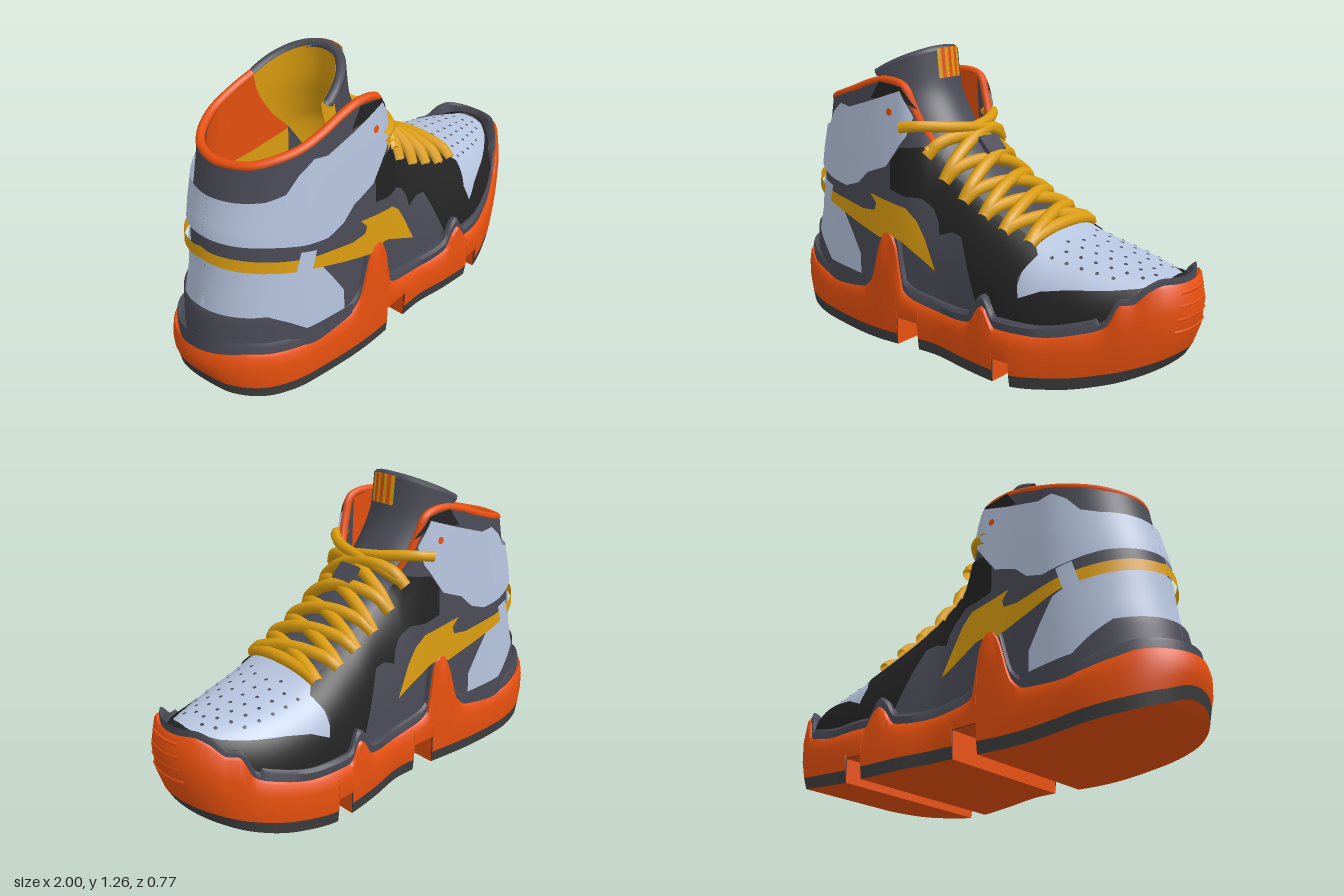
import * as THREE from 'three';
import { mergeGeometries, toCreasedNormals } from 'three/addons/utils/BufferGeometryUtils.js';

const V = (x, y, z) => new THREE.Vector3(x, y, z);
const clamp = THREE.MathUtils.clamp;
const mat = (name, color) => Object.assign(new THREE.MeshStandardMaterial({ color, side: THREE.DoubleSide }), { name });

// smooth curve through points, without overshoot
function curve(...p) {
  const d = p.slice(1).map((q, i) => (q[1] - p[i][1]) / (q[0] - p[i][0]));
  const m = p.map((_, i) => (i === 0 ? d[0] : i === p.length - 1 ? d[i - 1]
    : d[i - 1] * d[i] <= 0 ? 0 : (2 * d[i - 1] * d[i]) / (d[i - 1] + d[i])));
  return x => {
    x = clamp(x, p[0][0], p[p.length - 1][0]);
    let i = 0;
    while (i < p.length - 2 && x > p[i + 1][0]) i++;
    const h = p[i + 1][0] - p[i][0], t = (x - p[i][0]) / h, t2 = t * t, t3 = t2 * t;
    return p[i][1] * (2 * t3 - 3 * t2 + 1) + m[i] * h * (t3 - 2 * t2 + t)
      + p[i + 1][1] * (3 * t2 - 2 * t3) + m[i + 1] * h * (t3 - t2);
  };
}
const round = (d, L, p = 2) => Math.max(0, 1 - (1 - clamp(d / L, 0, 1)) ** p) ** (1 / p);

// plan outline shared by sole and upper
const halfW = curve([-1, .295], [-.8, .295], [-.6, .305], [-.3, .318], [0, .325], [.2, .362], [.4, .382], [.6, .35], [.8, .312], [1, .29]);
const midZ = curve([-1, .02], [-.6, .025], [-.3, .034], [0, .022], [.2, .005], [.4, -.012], [.6, -.035], [.8, -.05], [1, -.045]);
// upper: inset from the sole, crown height along the length, and lean of the heel
const inset = curve([-.9, .95], [-.5, .915], [-.2, .885], [.1, .85], [.3, .85], [1, .9]);
const crown = curve([-.9, 2], [-.2, 2], [-.15, 1.5], [-.1, 1.1], [-.06, .93], [0, .85], [.1, .755], [.2, .68], [.3, .625], [.4, .575],
  [.5, .535], [.7, .49], [.85, .46], [.92, .445], [.955, .42]);
const lean = curve([.2, -.03], [.4, -.015], [.45, .01], [.73, .04], [.85, .07], [1, .1], [1.15, .12]);
const leanK = X => clamp((-.3 - X) / .6, 0, 1);

function upperAt(s, t, side) {
  const X = .0275 - .9275 * Math.cos(Math.PI * s), a = t * Math.PI / 2;
  const y = .2 + (crown(X) - .2) * Math.sin(a) ** .75;
  const w = halfW(X) * round(X + .9, .35) * round(.955 - X, .45, 2.3) * (inset(X) - .04 * (y - .2)) * Math.max(0, Math.cos(a)) ** .75;
  return V(X + lean(y) * leanK(X), y, midZ(X) + side * w);
}
function upperNormal(s, t, side) {
  const e = .004, c = v => clamp(v, 0, 1);
  const ds = upperAt(c(s + e), t, side).sub(upperAt(c(s - e), t, side));
  const dt = upperAt(s, c(t + e), side).sub(upperAt(s, c(t - e), side));
  return ds.cross(dt).multiplyScalar(side).normalize();
}
const onUpper = (s, t, side, off) => upperAt(s, t, side).addScaledVector(upperNormal(s, t, side), off);
// side-on x, y to surface parameters
function toST(x, y) {
  let X = clamp(x, -.9, .955);
  for (let i = 0; i < 6; i++) X = clamp(x - lean(y) * leanK(X), -.9, .955);
  const f = clamp((y - .2) / (crown(X) - .2), 0, 1);
  return [Math.acos(clamp((.0275 - X) / .9275, -1, 1)) / Math.PI, Math.asin(f ** (1 / .75)) * 2 / Math.PI];
}

// cut a polygon at one grid line
function clip(poly, k, lim, sign) {
  const out = [];
  poly.forEach((b, i) => {
    const a = poly[(i + poly.length - 1) % poly.length];
    const da = (a[k] - lim) * sign, db = (b[k] - lim) * sign;
    if (da * db < 0) { const f = da / (da - db); out.push([a[0] + (b[0] - a[0]) * f, a[1] + (b[1] - a[1]) * f]); }
    if (db >= 0) out.push(b);
  });
  return out;
}
// panel lying on both sides of the upper, outlined in side-on x, y
function panelGeometry(pts, off) {
  const outline = [];
  pts.forEach((a, i) => {
    const b = pts[(i + 1) % pts.length];
    for (let j = 0; j < 8; j++) {
      const f = j / 8, ends = [a, b].map(q => [clamp(q[0], -1, 1), Math.min(q[1], 2.1)]);
      outline.push(toST(ends[0][0] + (ends[1][0] - ends[0][0]) * f, ends[0][1] + (ends[1][1] - ends[0][1]) * f));
    }
  });
  const pos = [], nor = [], NS = 72, NT = 36;
  for (let i = 0; i < NS; i++) {
    const col = clip(clip(outline, 0, i / NS, 1), 0, (i + 1) / NS, -1);
    for (let j = 0; j < NT && col.length > 2; j++) {
      const c = clip(clip(col, 1, j / NT, 1), 1, (j + 1) / NT, -1);
      if (c.length < 3) continue;
      const tris = THREE.ShapeUtils.triangulateShape(c.map(q => new THREE.Vector2(...q)), []);
      for (const f of tris) {
        const [p, q, r] = f.map(n => c[n]);
        const area = (q[0] - p[0]) * (r[1] - p[1]) - (q[1] - p[1]) * (r[0] - p[0]);
        if (Math.abs(area) < 1e-10) continue;
        for (const side of [1, -1]) for (const v of area * side > 0 ? [p, q, r] : [p, r, q]) {
          pos.push(...onUpper(v[0], v[1], side, off).toArray());
          nor.push(...upperNormal(v[0], v[1], side).toArray());
        }
      }
    }
  }
  const g = new THREE.BufferGeometry();
  g.setAttribute('position', new THREE.Float32BufferAttribute(pos, 3));
  return g.setAttribute('normal', new THREE.Float32BufferAttribute(nor, 3));
}
// sheet from a function of u, v
function sheet(nu, nv, fn) {
  const g = new THREE.PlaneGeometry(1, 1, nu, nv), p = g.attributes.position;
  for (let i = 0; i < p.count; i++) p.setXYZ(i, ...fn(p.getX(i) + .5, p.getY(i) + .5).toArray());
  g.computeVertexNormals();
  return g;
}
const tube = (pts, r, n = 40) => new THREE.TubeGeometry(new THREE.CatmullRomCurve3(pts), n, r, 8);

// sole: top edge with peaks, curved bottom, two notches
const soleTop = curve([-1, .27], [-.9, .265], [-.8, .24], [-.6, .21], [-.42, .22], [-.36, .27], [-.3, .45], [-.27, .5], [-.24, .5], [-.21, .45],
  [-.17, .25], [-.1, .22], [.1, .2], [.2, .21], [.25, .28], [.28, .3], [.34, .22], [.5, .22], [.7, .26], [.77, .29], [.82, .38], [.86, .385], [.92, .44], [.96, .46], [1, .455]);
const soleBottom = curve([-1, .1], [-.95, .065], [-.8, .03], [-.4, 0], [0, .015], [.4, 0], [.6, .02], [.8, .06], [.92, .095], [1, .12]);
const notches = [[-.2, -.08, .13], [.34, .42, .1]];
// ring points are [width factor, height, pull-in at the toe and heel]
function loft(sections, from, to) {
  const pos = [];
  for (let i = 0; i + 1 < sections.length; i++) for (let k = from; k < to; k++) for (const side of [1, -1]) {
    const P = (a, b) => {
      const { x, w, ring } = sections[a], [f, y, pull] = ring[b];
      return [x - Math.sign(x) * pull * 4 * Math.max(0, Math.abs(x) - .5) ** 2 * (x > 0 ? 1 : .4), y, midZ(x) + side * f * w];
    };
    const A = P(i, k), B = P(i + 1, k), C = P(i + 1, k + 1), D = P(i, k + 1);
    for (const v of side > 0 ? [A, B, C, A, C, D] : [A, C, B, A, D, C]) pos.push(...v);
  }
  const g = new THREE.BufferGeometry();
  g.setAttribute('position', new THREE.Float32BufferAttribute(pos, 3));
  return toCreasedNormals(g, .7);
}

export function createModel() {
  const group = new THREE.Group();
  const orange = mat('orange', 0xe8500f), yellow = mat('yellow', 0xdb9d10), pale = mat('paleBlue', 0xb6c4de);
  const grey = mat('slateGrey', 0x4b4b57), black = mat('black', 0x232324), rubber = mat('darkRubber', 0x403f40);
  const add = (name, geo, m) => { const o = new THREE.Mesh(geo, m); o.name = name; group.add(o); return o; };
  const panel = (name, m, off, pts) => add(name, panelGeometry(pts, off), m);

  // sole stations, doubled at the notch walls
  const xs = Array.from({ length: 181 }, (_, i) => -Math.cos(Math.PI * i / 180));
  notches.forEach(n => [n[0], n[1]].forEach(e => xs.push(e - 1e-5, e + 1e-5)));
  xs.sort((a, b) => a - b);
  const width = x => halfW(x) * round(x + 1, .35) * round(1 - x, .5, 2.3);
  const sole = xs.map(x => {
    const n = notches.find(q => x > q[0] && x < q[1]);
    const b = n ? n[2] : soleBottom(x), c = n ? b : b + .05, t = soleTop(x), f = .975 - .03 * (t - .2);
    return { x, w: width(x), ring: [[0, b, .075], [.97, b, .075], [.99, c, .045], [1, c + .3 * (t - c), .012], [.99, c + .65 * (t - c), 0],
      [f, t - .012, .02], [f - .03, t, .03], [.84, t - .01, .04], [.7, t - .08, .05]] };
  });
  add('outsoleUnderside', loft(sole, 0, 1), orange);
  add('outsoleEdge', loft(sole, 1, 2), rubber);
  add('midsole', loft(sole, 2, 8), orange);
  add('midsoleLip', loft(xs.map(x => {
    const t = soleTop(x) + (x > .75 ? .022 : .045), f = .95 - .03 * (t - .2);
    return { x: x * .985, w: width(x), ring: [[.93, Math.max(.18, t - .16), .03], [f, t - .015, .03], [f - .03, t, .03], [.8, t - .01, .04], [.65, t - .09, .05]] };
  }), 0, 4), grey);
  // ridges on the toe bumper
  for (const [y, h, back] of [[.425, .085, .012], [.375, .09, .005], [.325, .1, .004], [.275, .11, .008]])
    add('toeRidge', tube([-1, -.5, 0, .5, 1].map(u => V(.996 - back - 1.7 * (u * h) ** 2, y, -.045 + u * h)), .007, 12), orange);

  // upper panels, from the inside out
  const collar = [[-2, 1], [-.8, 1], [-.6, 1.045], [-.4, 1.11], [-.3, 1.13], [-.2, 1.11], [-.14, 1], [-.1, .91], [-.06, .85]];
  panel('upperBody', grey, 0, [[-2, .1], ...collar, [-.06, 9], [2, 9], [2, .34], [.78, .3], [.6, .1]]);
  panel('collarLining', orange, -.035, [[-2, .74], ...collar.slice(0, 6), [-.2, .8], [-.4, .78]]);
  panel('innerLining', yellow, -.035, [[-2, .45], [-2, .74], [-.4, .78], [-.2, .8], [-.2, .45]]);
  panel('toeBox', pale, .006, [[.38, 9], [.41, .54], [.42, .5], [.41, .45], [.4, .33], [.9, .3], [.94, 9]]);
  panel('ankleWrap', pale, .016, [[-2, .73], [-2, .86], [-.73, .88], [-.67, .9], [-.62, .965], [-.56, 1.01], [-.5, 1], [-.35, 1.045], [-.2, 1.095],
    [-.15, .99], [-.17, .91], [-.22, .84], [-.27, .775], [-.38, .735], [-.44, .68], [-.52, .655], [-.62, .67], [-.75, .7]]);
  panel('collarPatch', black, .01, [[-.37, 1.05], [-.32, 1.125], [-.2, 1.11], [-.14, 1.02], [-.2, 1.06]]);
  panel('heelPanel', pale, .008, [[-2, .3], [-2, .67], [-.68, .6], [-.56, .55], [-.5, .46], [-.44, .36], [-.44, .25]]);
  panel('heelCounter', grey, .014, [[-2, .1], [-2, .42], [-.78, .4], [-.71, .35], [-.64, .29], [-.4, .27], [-.4, .1]]);
  panel('eyestay', black, .012, [[-.25, .68], [-.25, .8], [-.2, .86], [-.1, .87], [0, .755], [.2, .63], [.4, .54], [.44, .5], [.4, .42],
    [.42, .35], [.5, .2], [.26, .2], [.23, .27], [.18, .38], [.14, .47], [.11, .53], [.06, .54], [0, .52], [-.01, .57], [-.04, .62], [-.1, .66], [-.17, .66]]);
  panel('toeGuard', black, .014, [[.4, .1], [.42, .35], [.5, .385], [.6, .4], [.75, .41], [.83, .42], [.88, .435], [.905, .447], [.91, 9],
    [2, 9], [2, .34], [.78, .3], [.6, .1]]);
  panel('sideBolt', yellow, .024, [[-2, .645], [-2, .695], [-.64, .62], [-.4, .575], [-.33, .58], [-.32, .61], [-.355, .65], [-.25, .63], [-.16, .615], [-.11, .57],
    [-.06, .49], [0, .37], [-.12, .435], [-.2, .48], [-.3, .465], [-.45, .51], [-.6, .56]]);
  panel('boltClip', pale, .034, [[-.68, .55], [-.65, .66], [-.59, .645], [-.62, .54]]);

  // collar rim, running round the heel from side to side
  const half = [[-.09, .89], [-.12, .95], [-.155, 1.03], [-.2, 1.11], [-.3, 1.13], [-.4, 1.11], [-.5, 1.075], [-.6, 1.045], [-.7, 1.02], [-.76, 1.005]]
    .map(q => toST(...q));
  const rim = side => half.map(q => onUpper(...q, side, -.014));
  add('collarRim', tube([...rim(1), onUpper(...toST(-2, 1), 1, -.014), ...rim(-1).reverse()], .018, 110), orange);
  add('insole', new THREE.CircleGeometry(1, 40).rotateX(-Math.PI / 2).scale(.4, 1, .24).translate(-.45, .52, .033), yellow);

  // tongue: outer face, lining, rolled edge and striped tab
  const tongueX = curve([.7, .1], [.85, 0], [.95, -.09], [1.1, -.165], [1.26, -.185]);
  const tongue = (u, v, depth) => {
    const a = u * 1.35, y = .7 + (1.245 - .1 * u * u - .7) * v;
    return V(tongueX(y) - depth - .28 * (1 - Math.cos(a)), y, .027 + (.215 - depth) * Math.sin(a));
  };
  add('tongue', sheet(28, 20, (u, v) => tongue(u * 2 - 1, v, 0)), grey);
  add('tongueLining', sheet(28, 20, (u, v) => tongue(u * 2 - 1, v, .035)), yellow);
  add('tongueEdge', tube(Array.from({ length: 15 }, (_, i) => tongue(i / 7 - 1, 1, .017)), .02, 50), grey);
  for (let i = 0; i < 7; i++)
    add('tabStripe', sheet(2, 8, (u, v) => tongue((i + u - 3.5) * .061, .79 + .23 * v, -.01)), i % 2 ? orange : yellow);

  // laces crossing over the throat
  const eyelets = [[-.1, .83], [-.02, .73], [.08, .66], [.18, .61], [.28, .565], [.39, .53]].map(q => toST(...q));
  const lace = (a, b, side, lift) => {
    const A = onUpper(...a, side, .014), B = onUpper(...b, -side, .014), mid = A.clone().lerp(B, .5);
    const h = (crown(mid.x + .03) - mid.y + lift) / .95;
    return tube(Array.from({ length: 13 }, (_, i) => {
      const f = i / 12, k = h * Math.max(0, Math.sin(Math.PI * f)) ** .55;
      return A.clone().lerp(B, f).add(V(.3 * k, .95 * k, 0));
    }), .027, 36);
  };
  for (let i = 0; i + 1 < eyelets.length; i++) for (const side of [1, -1])
    add('lace', lace(eyelets[i + 1], eyelets[i], side, side > 0 ? .032 : .02), yellow);
  add('lowestLace', lace(eyelets[5], eyelets[5], 1, .02), yellow);
  for (const side of [1, -1])
    add('topLace', tube([[-.21, .945, .28], [-.14, .955, .25], [-.06, .945, .13], [-.035, .93, 0], [-.05, .9, -.13], [-.09, .85, -.235]]
      .map(q => V(q[0] + (side > 0 ? .015 : 0), q[1], .03 + side * q[2])), .023, 36), yellow);
  add('laceTab', new THREE.BoxGeometry(.02, .08, .11).rotateZ(.75).translate(.045, .865, .01), grey);

  // flat discs: toe perforations and ankle eyelets
  const disc = (s, t, side, off, r) => new THREE.CircleGeometry(r, 8)
    .applyQuaternion(new THREE.Quaternion().setFromUnitVectors(V(0, 0, 1), upperNormal(s, t, side)))
    .translate(...onUpper(s, t, side, off).toArray());
  const holes = [];
  for (let i = 0; i < 7; i++) for (const t of [.62, .74, .86, .96]) for (const side of [1, -1]) {
    const x = .49 + .06 * i + (t === .74 || t === .96 ? .03 : 0);
    if (x < .87 && (t > .7 || x < .75)) holes.push(disc(toST(x, .3)[0], t, side, .009, .008));
  }
  add('toePerforations', mergeGeometries(holes), grey);
  add('ankleEyelets', mergeGeometries([1, -1].map(side => disc(...toST(-.25, 1.005), side, .022, .016))), orange);
  return group;
}
